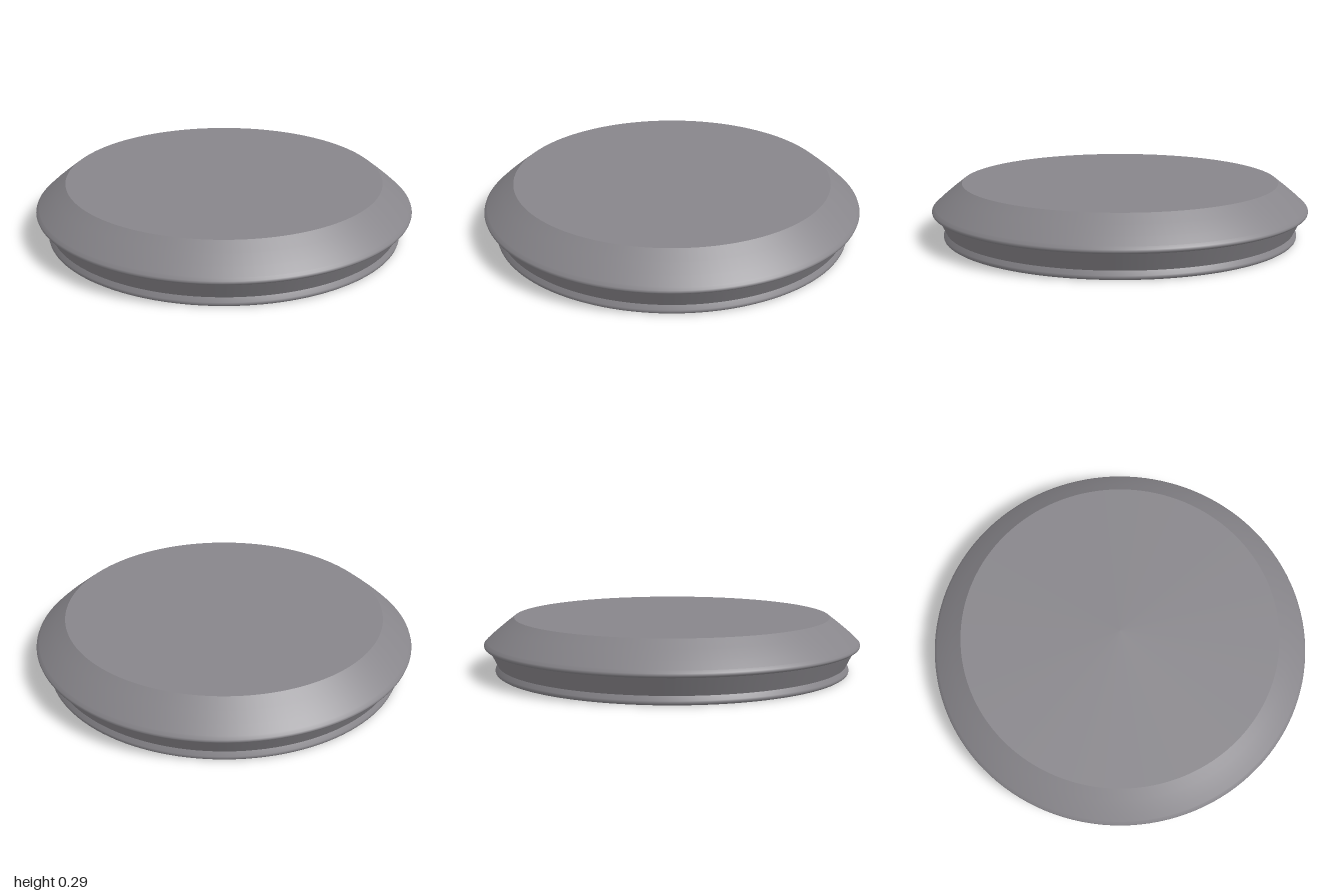
import * as THREE from 'three';

export function createModel() {
  const group = new THREE.Group();
  const grey = new THREE.MeshStandardMaterial({ color: 0x87858a });
  grey.name = 'warm grey';

  // Each band is its own lathe, so the edges between bands stay crisp.
  // Profiles run from bottom to top as [radius, height].
  const addBand = (name, profile) => {
    const points = profile.map(([r, y]) => new THREE.Vector2(r, y));
    const mesh = new THREE.Mesh(new THREE.LatheGeometry(points, 128), grey);
    mesh.name = name;
    group.add(mesh);
  };

  addBand('underside', [[0, 0], [0.935, 0]]);
  // Rounded bead around the base
  addBand('footBead', [[0.935, 0], [0.942, 0.005], [0.944, 0.013], [0.942, 0.021], [0.93, 0.042]]);
  // Neck flaring out to the rim
  addBand('neck', [[0.93, 0.042], [0.974, 0.132]]);
  // Rounded lip at the widest point
  addBand('rimUnderside', [[0.974, 0.132], [0.99, 0.135]]);
  addBand('rimLip', [[0.99, 0.135], [0.998, 0.141], [1, 0.148], [0.997, 0.156], [0.985, 0.168]]);
  // Gently domed slope up to the flat top
  addBand('upperSlope', [[0.985, 0.168], [0.945, 0.204], [0.895, 0.245], [0.84, 0.288]]);
  addBand('topFace', [[0.84, 0.288], [0, 0.288]]);

  return group;
}
